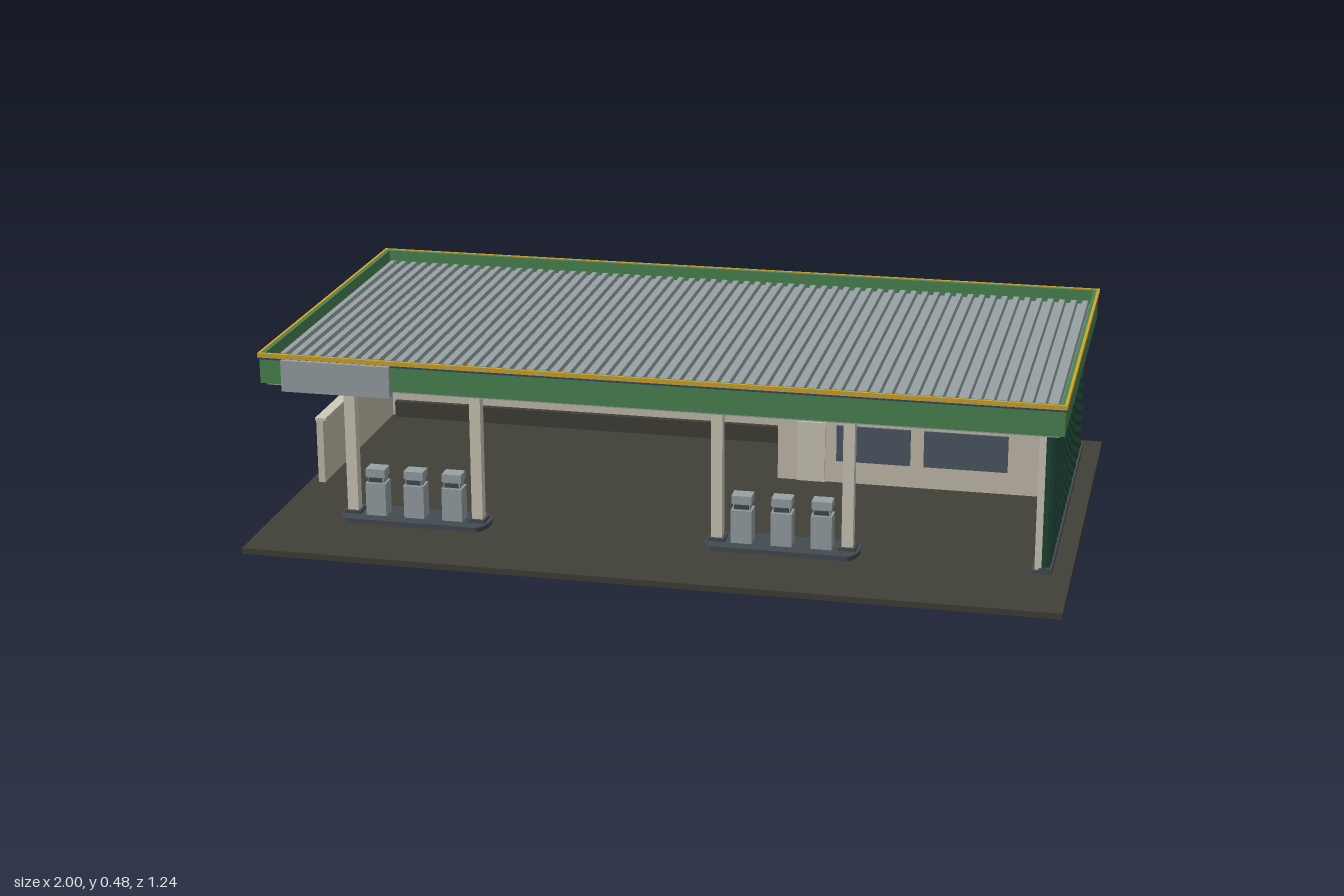
import * as THREE from 'three';

const mat = (name, color) => Object.assign(new THREE.MeshStandardMaterial({ color }), { name });
const M = {
  asphalt: mat('asphalt', 0x403f38),
  green: mat('fascia green', 0x4a8552),
  darkGreen: mat('cladding green', 0x1f4635),
  beige: mat('beige wall', 0xc6c0ae),
  trim: mat('light trim', 0xd0cbbb),
  grey: mat('metal grey', 0x98a2a6),
  slate: mat('slate', 0x434b52),
  glass: mat('window glass', 0x4d5a66),
  yellow: mat('stripe yellow', 0xd2a52c),
  blue: mat('stripe blue', 0x2f4a6e),
};

// Box given by its limits on each axis
function box(parent, name, m, [x0, x1], [y0, y1], [z0, z1]) {
  const mesh = new THREE.Mesh(new THREE.BoxGeometry(x1 - x0, y1 - y0, z1 - z0), m);
  mesh.position.set((x0 + x1) / 2, (y0 + y1) / 2, (z0 + z1) / 2);
  mesh.name = name;
  parent.add(mesh);
  return mesh;
}

// Rectangular ring lying flat, from y0 to y1
function ring(parent, name, m, hx, hz, t, y0, y1) {
  const rect = (C, a, b) => {
    const p = new C();
    p.moveTo(-a, -b); p.lineTo(a, -b); p.lineTo(a, b); p.lineTo(-a, b); p.closePath();
    return p;
  };
  const s = rect(THREE.Shape, hx, hz);
  s.holes.push(rect(THREE.Path, hx - t, hz - t));
  const g = new THREE.ExtrudeGeometry(s, { depth: y1 - y0, bevelEnabled: false });
  g.rotateX(-Math.PI / 2).translate(0, y0, 0);
  const mesh = new THREE.Mesh(g, m);
  mesh.name = name;
  parent.add(mesh);
}

// Ribbed sheet: trapezoid ribs along x, extruded along z, centred
function ribbedSheet(width, length, ribs, thick, rise) {
  const p = width / ribs, s = new THREE.Shape();
  s.moveTo(-width / 2, 0);
  s.lineTo(width / 2, 0);
  for (let i = ribs - 1; i >= 0; i--) {
    const x = -width / 2 + i * p;
    s.lineTo(x + p, thick);
    s.lineTo(x + p * 0.7, thick);
    s.lineTo(x + p * 0.58, thick + rise);
    s.lineTo(x + p * 0.12, thick + rise);
    s.lineTo(x, thick);
  }
  s.closePath();
  const g = new THREE.ExtrudeGeometry(s, { depth: length, bevelEnabled: false });
  return g.translate(0, 0, -length / 2);
}

function column(parent, x, z, y0) {
  const g = new THREE.Group();
  g.name = 'column';
  box(g, 'columnPost', M.trim, [x - 0.014, x + 0.014], [y0, 0.41], [z - 0.014, z + 0.014]);
  box(g, 'columnFoot', M.slate, [x - 0.021, x + 0.021], [y0, y0 + 0.008], [z - 0.021, z + 0.021]);
  parent.add(g);
}

function pump(parent, x, z, y0) {
  const g = new THREE.Group();
  g.name = 'pump';
  box(g, 'pumpBody', M.grey, [x - 0.026, x + 0.026], [y0, y0 + 0.085], [z - 0.022, z + 0.022]);
  box(g, 'pumpNeck', M.grey, [x - 0.021, x + 0.021], [y0 + 0.085, y0 + 0.102], [z - 0.017, z + 0.017]);
  box(g, 'pumpHead', M.grey, [x - 0.025, x + 0.025], [y0 + 0.102, y0 + 0.122], [z - 0.02, z + 0.02]);
  for (const s of [-1, 1]) {
    const zc = z + s * 0.0175;
    box(g, 'pumpDisplay', M.slate, [x - 0.018, x + 0.018], [y0 + 0.088, y0 + 0.099], [zc - 0.002, zc + 0.002]);
  }
  parent.add(g);
}

export function createModel() {
  const model = new THREE.Group();
  model.name = 'fillingStation';
  box(model, 'forecourt', M.asphalt, [-1, 1], [0, 0.015], [-0.622, 0.622]);

  // Canopy: fascia ring with stripes, soffit and ribbed roof
  const canopy = new THREE.Group();
  canopy.name = 'canopy';
  model.add(canopy);
  ring(canopy, 'fascia', M.green, 0.978, 0.498, 0.012, 0.402, 0.477);
  ring(canopy, 'blueStripe', M.blue, 0.98, 0.5, 0.006, 0.463, 0.468);
  ring(canopy, 'yellowStripe', M.yellow, 0.982, 0.502, 0.007, 0.468, 0.479);
  box(canopy, 'soffit', M.slate, [-0.967, 0.967], [0.403, 0.41], [-0.487, 0.487]);
  box(canopy, 'frontBeam', M.grey, [-0.965, 0.965], [0.395, 0.404], [0.37, 0.485]);
  const roof = new THREE.Mesh(ribbedSheet(1.932, 0.974, 64, 0.03, 0.009), M.grey);
  roof.name = 'ribbedRoof';
  roof.position.y = 0.41;
  canopy.add(roof);
  box(canopy, 'signPanel', M.grey, [-0.92, -0.645], [0.388, 0.467], [0.485, 0.511]);

  // Perimeter walls
  box(model, 'backWall', M.beige, [-0.975, 0.93], [0.015, 0.404], [-0.462, -0.442]);
  box(model, 'skirting', M.asphalt, [-0.945, 0.185], [0.015, 0.06], [-0.442, -0.425]);
  box(model, 'lowSideWall', M.beige, [-0.975, -0.957], [0.015, 0.185], [-0.442, 0.13]);
  box(model, 'lowWallCap', M.trim, [-0.977, -0.949], [0.185, 0.192], [-0.442, 0.132]);

  // Ribbed side cladding, ribs facing outwards
  const clad = ribbedSheet(0.93, 0.39, 46, 0.012, 0.008);
  clad.applyMatrix4(new THREE.Matrix4().makeBasis(
    new THREE.Vector3(0, 0, 1), new THREE.Vector3(1, 0, 0), new THREE.Vector3(0, 1, 0)));
  const cladding = new THREE.Mesh(clad, M.darkGreen);
  cladding.name = 'sideCladding';
  cladding.position.set(0.928, 0.21, -0.085);
  model.add(cladding);
  box(model, 'claddingPlinth', M.slate, [0.922, 0.953], [0.015, 0.028], [-0.553, 0.384]);

  // Shop
  const shop = new THREE.Group();
  shop.name = 'shop';
  model.add(shop);
  const zf = -0.15;
  box(shop, 'shopBody', M.beige, [0.19, 0.928], [0.015, 0.395], [-0.442, zf]);
  box(shop, 'shopTrim', M.slate, [0.19, 0.925], [0.374, 0.383], [zf, zf + 0.009]);
  const pane = (name, m, x, y) => box(shop, name, m, x, y, [zf, zf + 0.005]);
  for (const x of [[0.225, 0.33], [0.35, 0.48], [0.5, 0.635], [0.66, 0.77], [0.812, 0.9]])
    pane('upperWindow', M.glass, x, [0.273, 0.34]);
  for (const x of [[0.345, 0.538], [0.573, 0.79]]) pane('lowerWindow', M.glass, x, [0.075, 0.172]);
  pane('door', M.trim, [0.242, 0.315], [0.015, 0.177]);

  // Pump islands, each with two columns and three pumps
  for (const cx of [-0.64, 0.293]) {
    const island = new THREE.Group();
    island.name = 'pumpIsland';
    model.add(island);
    const z = 0.345;
    box(island, 'kerb', M.slate, [cx - 0.165, cx + 0.165], [0.015, 0.027], [z - 0.055, z + 0.055]);
    for (const s of [-1, 1]) {
      const end = new THREE.Mesh(new THREE.CylinderGeometry(0.055, 0.055, 0.012, 20, 1, false, s > 0 ? 0 : Math.PI, Math.PI), M.slate);
      end.name = 'kerbEnd';
      end.scale.x = 0.5;
      end.position.set(cx + s * 0.165, 0.021, z);
      island.add(end);
      column(island, cx + s * 0.162, z, 0.027);
    }
    for (const i of [-1, 0, 1]) pump(island, cx + i * 0.099, z, 0.027);
  }
  column(model, 0.925, 0.365, 0.015);
  return model;
}
